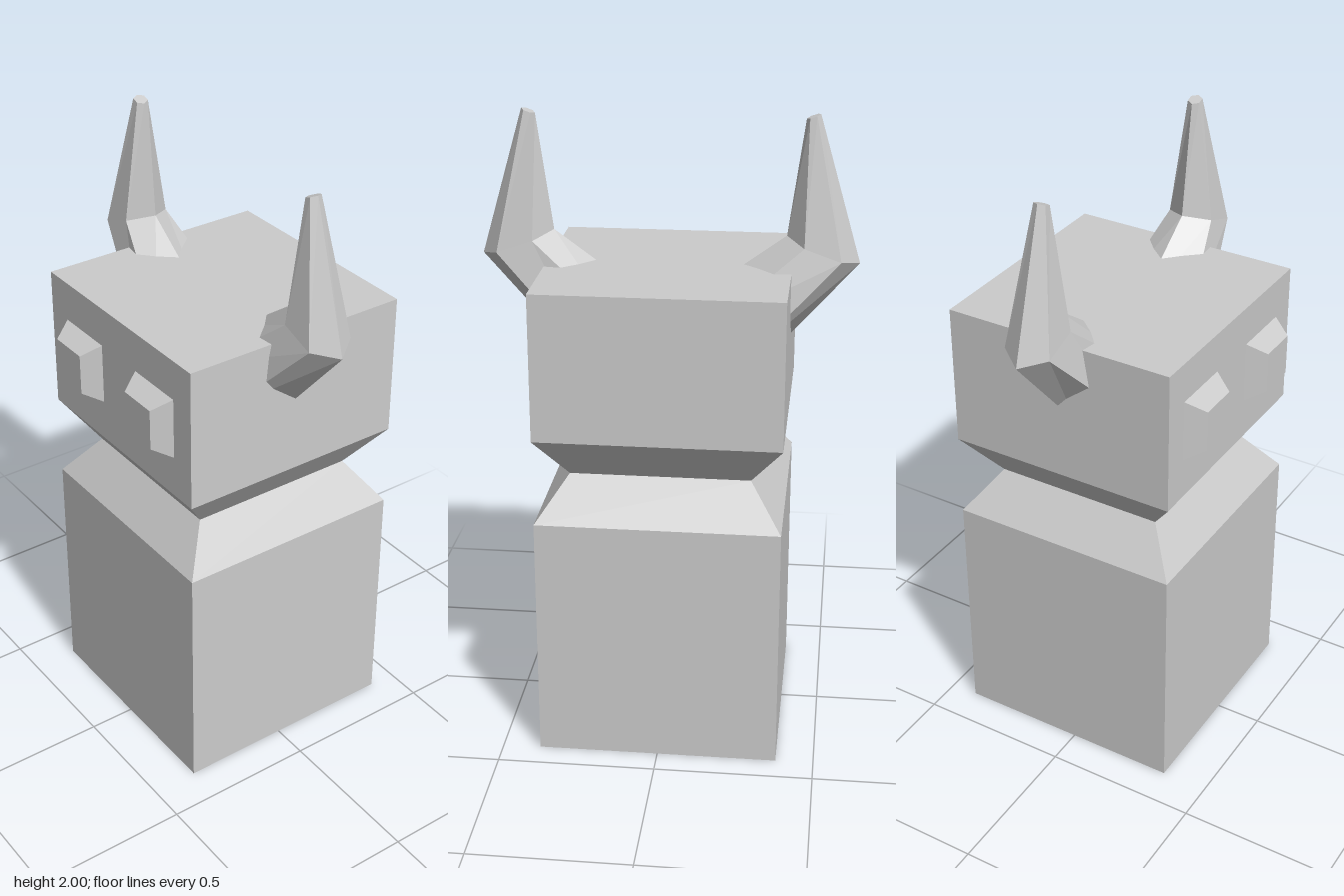
import * as THREE from 'three';

const CZ = -0.03; // depth centre of body and horns

// Flat-faced skin over a list of rings (counter-clockwise about the path direction), last ring capped
function skinRings(rings) {
  const pos = [];
  const tri = (...pts) => pts.forEach((p) => pos.push(...p));
  const n = rings[0].length;
  for (let r = 0; r < rings.length - 1; r++) {
    const a = rings[r], b = rings[r + 1];
    for (let i = 0; i < n; i++) {
      const j = (i + 1) % n;
      tri(a[i], a[j], b[j]);
      tri(a[i], b[j], b[i]);
    }
  }
  const end = rings[rings.length - 1];
  for (let i = 1; i < n - 1; i++) tri(end[0], end[i], end[i + 1]);
  const geo = new THREE.BufferGeometry();
  geo.setAttribute('position', new THREE.Float32BufferAttribute(pos, 3));
  geo.computeVertexNormals();
  return geo;
}

const CORNERS = [[1, 1], [1, -1], [-1, -1], [-1, 1]];

// Square column pinched at the neck, open underneath
function bodyGeometry() {
  const profile = [[0, 0.38], [0.79, 0.38], [0.927, 0.28], [1.065, 0.38], [1.53, 0.38]];
  return skinRings(profile.map(([y, h]) => CORNERS.map(([x, z]) => [x * h, y, CZ + z * h])));
}

// Bevelled square block on the face
function eyeGeometry() {
  const ring = (h, z) => CORNERS.map(([x, y]) => [x * h, y * h, z]).reverse();
  return skinRings([ring(0.1, 0.35), ring(0.066, 0.41)]);
}

// Bent six-sided horn: each ring spans an outer and an inner point, with a half depth in z
function hornGeometry(side) {
  const sections = [
    { outer: [0.28, 1.2], inner: [0.1, 1.435], depth: 0.145 },
    { outer: [0.585, 1.545], inner: [0.36, 1.625], depth: 0.076 },
    { outer: [0.452, 2.0], inner: [0.41, 1.985], depth: 0.02 },
  ];
  return skinRings(sections.map(({ outer, inner, depth }) => {
    const ring = [];
    for (let i = 0; i < 6; i++) {
      const a = (i * Math.PI) / 3;
      const t = (1 + Math.cos(a)) / 2;
      ring.push([
        side * THREE.MathUtils.lerp(inner[0], outer[0], t),
        THREE.MathUtils.lerp(inner[1], outer[1], t),
        CZ - (depth * Math.sin(a)) / Math.sin(Math.PI / 3),
      ]);
    }
    return side > 0 ? ring : ring.reverse();
  }));
}

export function createModel() {
  const model = new THREE.Group();
  model.name = 'hornedTotem';
  const material = new THREE.MeshStandardMaterial({
    color: 0xcccccc, flatShading: true, side: THREE.DoubleSide,
  });
  const add = (name, geometry) => {
    const mesh = new THREE.Mesh(geometry, material);
    mesh.name = name;
    model.add(mesh);
    return mesh;
  };

  add('body', bodyGeometry());
  for (const [label, side] of [['left', 1], ['right', -1]]) {
    add(label + 'Eye', eyeGeometry()).position.set(side * 0.192, 1.3, 0);
    add(label + 'Horn', hornGeometry(side));
  }
  return model;
}
